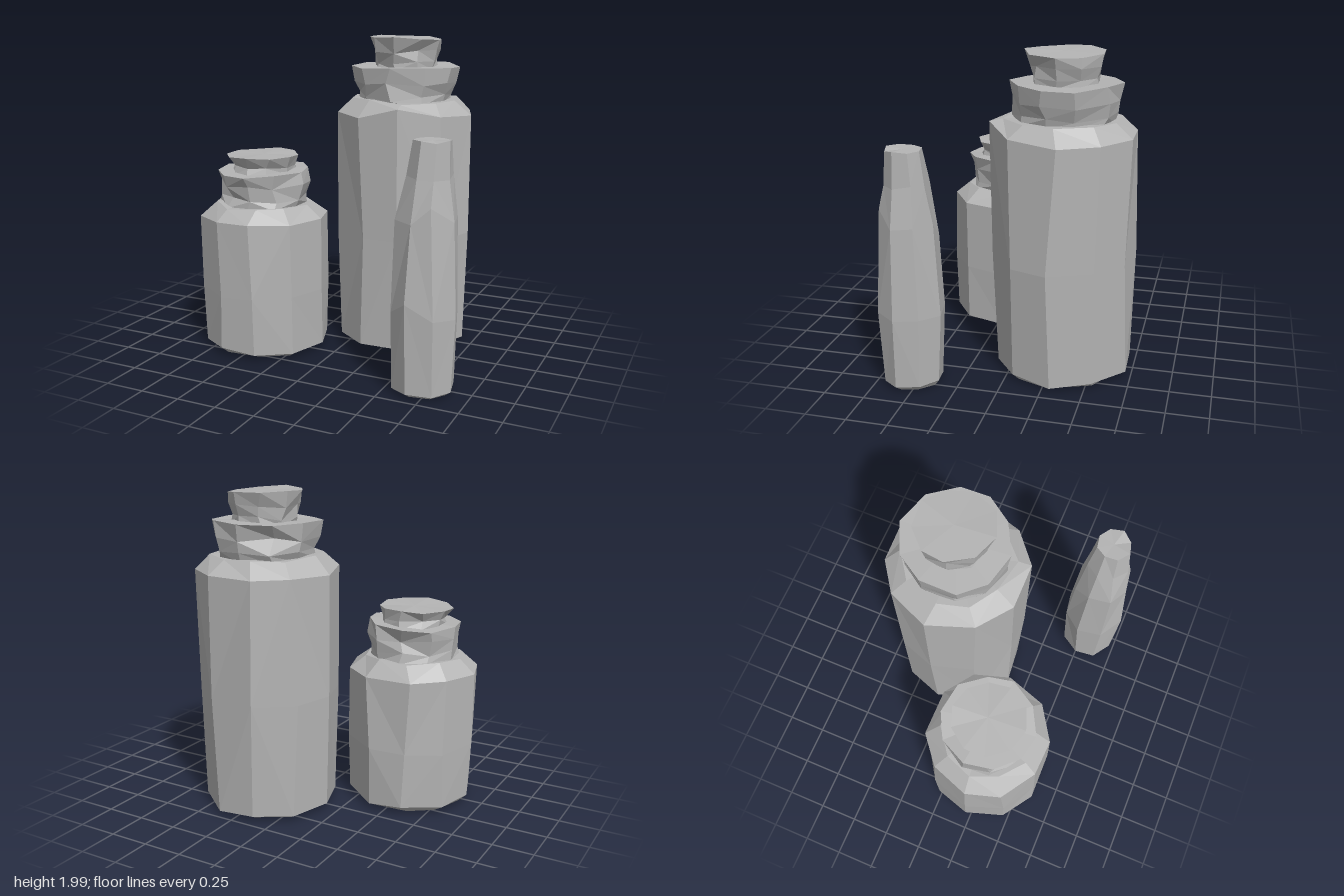
import * as THREE from 'three';

const stone = new THREE.MeshStandardMaterial({ color: 0xb4b4b4, flatShading: true });
stone.name = 'plain grey';

// Small seeded generator for the hand-carved unevenness
function seeded(seed) {
  let s = seed;
  return () => (s = (s * 16807) % 2147483647) / 2147483647;
}

// Closed faceted solid of rings [y, radius, dx, dz], with slight wobble per corner.
// bumps: list of [ring, corner, outward, up] for individual chipped or raised corners.
function facetedSolid(name, rings, { sides = 10, seed = 1, wobbleR = 0.015, wobbleY = 0.01, twist = 0, bumps = [] } = {}) {
  const rnd = seeded(seed * 7919);
  const jitter = (a) => (rnd() * 2 - 1) * a;
  const pts = rings.map(([y, r, dx = 0, dz = 0], k) => {
    const row = [];
    for (let i = 0; i < sides; i++) {
      const a = (i + twist) / sides * Math.PI * 2 + jitter(0.07);
      const bump = bumps.find((b) => b[0] === k && b[1] === i) || [0, 0, 0, 0];
      const rad = r + jitter(wobbleR) + bump[2];
      const lift = k === 0 ? Math.abs(jitter(wobbleY)) : jitter(wobbleY);
      row.push([dx + Math.cos(a) * rad, y + lift + bump[3], dz + Math.sin(a) * rad]);
    }
    return row;
  });
  const pos = [];
  const tri = (a, b, c) => pos.push(...a, ...b, ...c);
  for (let k = 0; k < pts.length - 1; k++) {
    for (let i = 0; i < sides; i++) {
      const j = (i + 1) % sides;
      const a = pts[k][i], b = pts[k][j], c = pts[k + 1][j], d = pts[k + 1][i];
      // alternate the diagonals irregularly
      if (rnd() < 0.5) { tri(a, d, c); tri(a, c, b); } else { tri(a, d, b); tri(b, d, c); }
    }
  }
  // end faces
  const last = rings.length - 1;
  const hub = (k) => [rings[k][2] || 0, rings[k][0], rings[k][3] || 0];
  for (let i = 0; i < sides; i++) {
    const j = (i + 1) % sides;
    tri(hub(0), pts[0][i], pts[0][j]);
    tri(hub(last), pts[last][j], pts[last][i]);
  }
  const geo = new THREE.BufferGeometry();
  geo.setAttribute('position', new THREE.Float32BufferAttribute(pos, 3));
  geo.computeVertexNormals();
  const mesh = new THREE.Mesh(geo, stone);
  mesh.name = name;
  return mesh;
}

function place(name, x, z, ...parts) {
  const g = new THREE.Group();
  g.name = name;
  g.position.set(x, 0, z);
  g.add(...parts);
  return g;
}

export function createModel() {
  const model = new THREE.Group();
  model.name = 'jarSet';

  // Tall jar: body with sloping shoulder, collar and flared stopper
  model.add(place('tallJar', 0.25, -0.3,
    facetedSolid('tallJarBody', [
      [0.005, 0.37], [0.035, 0.425], [0.75, 0.44], [1.51, 0.445], [1.6, 0.34],
    ], { seed: 3, bumps: [[3, 2, 0.0, 0.07], [4, 2, 0.03, -0.01]] }),
    facetedSolid('tallJarCollar', [
      [1.57, 0.29], [1.63, 0.305], [1.71, 0.325], [1.805, 0.335],
    ], { seed: 5, wobbleY: 0.012, twist: 0.4, bumps: [[1, 2, 0.03, -0.02], [2, 6, -0.04, 0.02]] }),
    facetedSolid('tallJarStopper', [
      [1.78, 0.2], [1.83, 0.205], [1.9, 0.215], [1.985, 0.245],
    ], { seed: 8, sides: 9, wobbleY: 0.013, twist: 0.2 })));

  // Short jar: same build, wider for its height
  model.add(place('shortJar', -0.51, 0.22,
    facetedSolid('shortJarBody', [
      [0.005, 0.35], [0.045, 0.405], [0.4, 0.405], [0.865, 0.405], [0.95, 0.305],
    ], { seed: 11, wobbleR: 0.01, wobbleY: 0.012 }),
    facetedSolid('shortJarCollar', [
      [0.93, 0.28], [1.0, 0.275], [1.08, 0.285], [1.16, 0.295],
    ], { seed: 14, wobbleY: 0.015, twist: 0.3, bumps: [[2, 0, 0.03, 0.02], [1, 3, -0.04, 0], [2, 7, -0.03, 0]] }),
    facetedSolid('shortJarStopper', [
      [1.14, 0.215], [1.19, 0.205], [1.255, 0.235],
    ], { seed: 17, wobbleY: 0.008, twist: 0.5 })));

  // Slender bottle tapering to a narrow top
  model.add(place('slenderBottle', 0.715, 0.535,
    facetedSolid('bottleBody', [
      [0.005, 0.145], [0.035, 0.185], [0.48, 0.2], [1.03, 0.175],
      [1.27, 0.135, 0.015], [1.47, 0.108, 0.03],
    ], { seed: 21, sides: 8, wobbleY: 0.012, wobbleR: 0.01, twist: 0.3, bumps: [[2, 2, 0, 0.1], [3, 5, 0, -0.1], [3, 1, 0, 0.08]] })));

  return model;
}
